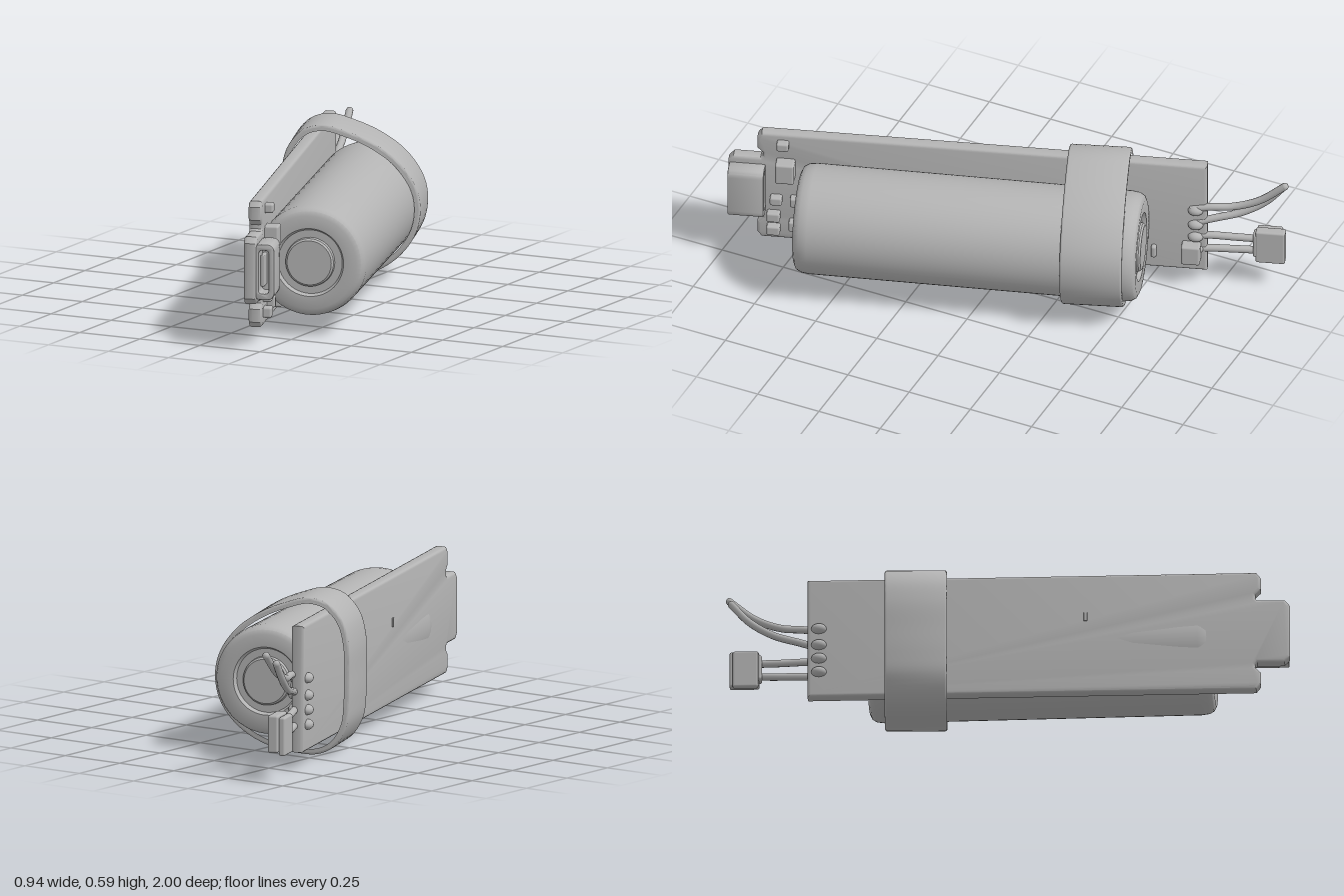
import * as THREE from 'three';
import { toCreasedNormals } from 'three/addons/utils/BufferGeometryUtils.js';
import { RoundedBoxGeometry } from 'three/addons/geometries/RoundedBoxGeometry.js';

const V2 = (p) => new THREE.Vector2(p[0], p[1]);
const V3 = (p) => new THREE.Vector3(p[0], p[1], p[2]);

export function createModel() {
  const grey = new THREE.MeshStandardMaterial({ color: 0xb4b4b4 });
  grey.name = 'plain grey';
  const root = new THREE.Group();
  root.name = 'batteryBoard';

  const add = (parent, name, geo, pos = [0, 0, 0], ry = 0) => {
    const m = new THREE.Mesh(geo, grey);
    m.name = name;
    m.position.set(...pos);
    m.rotation.y = ry;
    parent.add(m);
    return m;
  };
  const box = (parent, name, size, pos, r = 0.008, ry = 0) =>
    add(parent, name, new RoundedBoxGeometry(...size, 2, r), pos, ry);

  // Everything stiff lies along one axis, turned about y
  const body = new THREE.Group();
  body.name = 'body';
  body.position.set(-0.09, 0, 0.085);
  body.rotation.y = THREE.MathUtils.degToRad(18);
  root.add(body);

  // Circuit board: outline in (length, height) with a narrow tongue at the front
  const outline = [
    [-0.815, 0.077], [0.825, 0.077], [0.835, 0.09], [0.835, 0.13], [0.815, 0.15], [0.815, 0.17], [0.83, 0.185],
    [0.93, 0.185], [0.943, 0.2], [0.943, 0.4], [0.93, 0.415], [0.83, 0.415],
    [0.815, 0.43], [0.815, 0.455], [0.835, 0.475], [0.835, 0.515], [0.825, 0.528], [-0.815, 0.528],
  ];
  const boardGeo = new THREE.ExtrudeGeometry(new THREE.Shape(outline.map(V2)), {
    depth: 0.026, bevelSize: 0.012, bevelThickness: 0.012, bevelSegments: 3,
  });
  boardGeo.translate(0, 0, -0.013).rotateY(-Math.PI / 2);
  add(body, 'circuitBoard', toCreasedNormals(boardGeo, 0.6));
  box(body, 'boardMark', [0.008, 0.035, 0.014], [-0.025, 0.37, 0.2], 0.003);

  // Battery cell with a ring and a button on both ends
  const end = [
    [0, 0.645], [0.083, 0.645], [0.09, 0.638], [0.092, 0.622], [0.12, 0.622],
    [0.128, 0.638], [0.175, 0.64], [0.192, 0.632], [0.202, 0.615], [0.206, 0.585],
  ];
  const profile = [...end.map(([r, y]) => [r, -y]), ...[...end].reverse()].map(V2);
  const cell = new THREE.LatheGeometry(profile, 64).rotateX(Math.PI / 2);
  add(body, 'batteryCell', toCreasedNormals(cell, 0.6), [0.186, 0.281, 0.032], THREE.MathUtils.degToRad(-1));

  // Strap: closed band around the cell and the board
  const strapLine = new THREE.CatmullRomCurve3([
    [-0.103, 0.3], [-0.1, 0.42], [-0.075, 0.51], [-0.015, 0.575], [0.06, 0.592], [0.14, 0.572], [0.24, 0.53],
    [0.335, 0.462], [0.4, 0.37], [0.418, 0.285], [0.4, 0.19], [0.335, 0.1], [0.23, 0.035],
    [0.1, 0.006], [0.02, 0.006], [-0.045, 0.04], [-0.09, 0.115], [-0.101, 0.2],
  ].map(([x, y]) => new THREE.Vector3(x, y, 0)), true, 'centripetal');
  const outer = [], inner = [], steps = 96, inset = 0.008, thick = 0.03;
  for (let i = 0; i < steps; i++) {
    const p = strapLine.getPointAt(i / steps), t = strapLine.getTangentAt(i / steps);
    const at = (d) => new THREE.Vector2(p.x + t.y * -d, p.y + t.x * d);
    outer.push(at(-inset));
    inner.push(at(-thick + inset));
  }
  const band = new THREE.Shape(outer);
  band.holes.push(new THREE.Path(inner));
  const strapGeo = new THREE.ExtrudeGeometry(band, {
    depth: 0.214, bevelSize: inset, bevelThickness: inset, bevelSegments: 3,
  }).translate(0, 0, -0.107);
  add(body, 'strap', toCreasedNormals(strapGeo, 0.6), [0, 0, -0.428], THREE.MathUtils.degToRad(2));

  // Front socket: open rounded shell with a tongue inside
  const pill = (Type, w, h, r) => {
    const s = new Type(), a = w / 2, b = h / 2;
    s.moveTo(-a + r, -b).lineTo(a - r, -b).quadraticCurveTo(a, -b, a, -b + r);
    s.lineTo(a, b - r).quadraticCurveTo(a, b, a - r, b).lineTo(-a + r, b);
    s.quadraticCurveTo(-a, b, -a, b - r).lineTo(-a, -b + r).quadraticCurveTo(-a, -b, -a + r, -b);
    return s;
  };
  const socket = new THREE.Group();
  socket.name = 'socket';
  socket.position.set(0.05, 0.297, 0.82);
  body.add(socket);
  const shell = pill(THREE.Shape, 0.07, 0.2, 0.025);
  shell.holes.push(pill(THREE.Path, 0.046, 0.172, 0.018));
  const shellGeo = new THREE.ExtrudeGeometry(shell, {
    depth: 0.125, bevelSize: 0.005, bevelThickness: 0.005, bevelSegments: 2, curveSegments: 6,
  });
  add(socket, 'socketShell', toCreasedNormals(shellGeo, 0.6));
  box(socket, 'socketBack', [0.066, 0.195, 0.05], [0, 0, 0.025]);
  box(socket, 'socketTongue', [0.016, 0.12, 0.07], [-0.008, 0, 0.07], 0.005);

  // Small parts on the inner face: [z, y, length, height, thickness]
  [
    [0.75, 0.5, 0.045, 0.035, 0.03], [0.74, 0.392, 0.07, 0.085, 0.05], [0.775, 0.25, 0.045, 0.035, 0.03],
    [0.705, 0.25, 0.035, 0.04, 0.03], [0.785, 0.175, 0.05, 0.04, 0.03], [0.785, 0.115, 0.05, 0.04, 0.03],
    [0.71, 0.14, 0.035, 0.045, 0.03], [0.56, 0.11, 0.05, 0.04, 0.03], [0.3, 0.11, 0.06, 0.035, 0.03],
    [0.08, 0.11, 0.035, 0.03, 0.03], [-0.63, 0.145, 0.02, 0.05, 0.02], [-0.77, 0.157, 0.07, 0.08, 0.045],
  ].forEach(([z, y, l, h, t]) => box(body, 'boardComponent', [t + 0.01, h, l], [0.02 + t / 2, y, z]));

  // Solder joints on both faces where the wires enter
  [0.34, 0.275, 0.22, 0.165].forEach((y) => {
    [-1, 1].forEach((side) => {
      const joint = add(body, 'solderJoint', new THREE.SphereGeometry(0.022, 16, 12), [side * 0.026, y, -0.785]);
      joint.scale.set(1, 0.9, 1.3);
    });
  });

  // Wires
  [
    [[-0.305, 0.345, -0.65], [-0.33, 0.358, -0.72], [-0.365, 0.362, -0.8], [-0.39, 0.4, -0.89], [-0.412, 0.48, -0.985]],
    [[-0.31, 0.28, -0.66], [-0.345, 0.3, -0.73], [-0.39, 0.325, -0.82], [-0.425, 0.375, -0.9], [-0.445, 0.45, -0.965]],
    [[-0.31, 0.225, -0.66], [-0.34, 0.222, -0.72], [-0.375, 0.215, -0.8], [-0.405, 0.212, -0.88]],
    [[-0.31, 0.165, -0.66], [-0.34, 0.163, -0.72], [-0.375, 0.16, -0.8], [-0.405, 0.16, -0.88]],
  ].forEach((pts) => {
    add(root, 'wire', new THREE.TubeGeometry(new THREE.CatmullRomCurve3(pts.map(V3)), 28, 0.014, 10));
    const last = pts[pts.length - 1];
    add(root, 'wireEnd', new THREE.SphereGeometry(0.014, 10, 8), last);
  });

  // Plug hanging on the lower pair
  const plug = new THREE.Group();
  plug.name = 'plug';
  plug.position.set(-0.43, 0.175, -0.92);
  plug.rotation.y = THREE.MathUtils.degToRad(18);
  root.add(plug);
  box(plug, 'plugBody', [0.04, 0.14, 0.11], [0.012, 0.01, 0], 0.008);
  box(plug, 'plugSide', [0.025, 0.145, 0.095], [-0.019, 0, 0.005], 0.008);
  box(plug, 'plugCollar', [0.05, 0.1, 0.03], [0.005, 0.012, 0.05], 0.008);

  return root;
}
